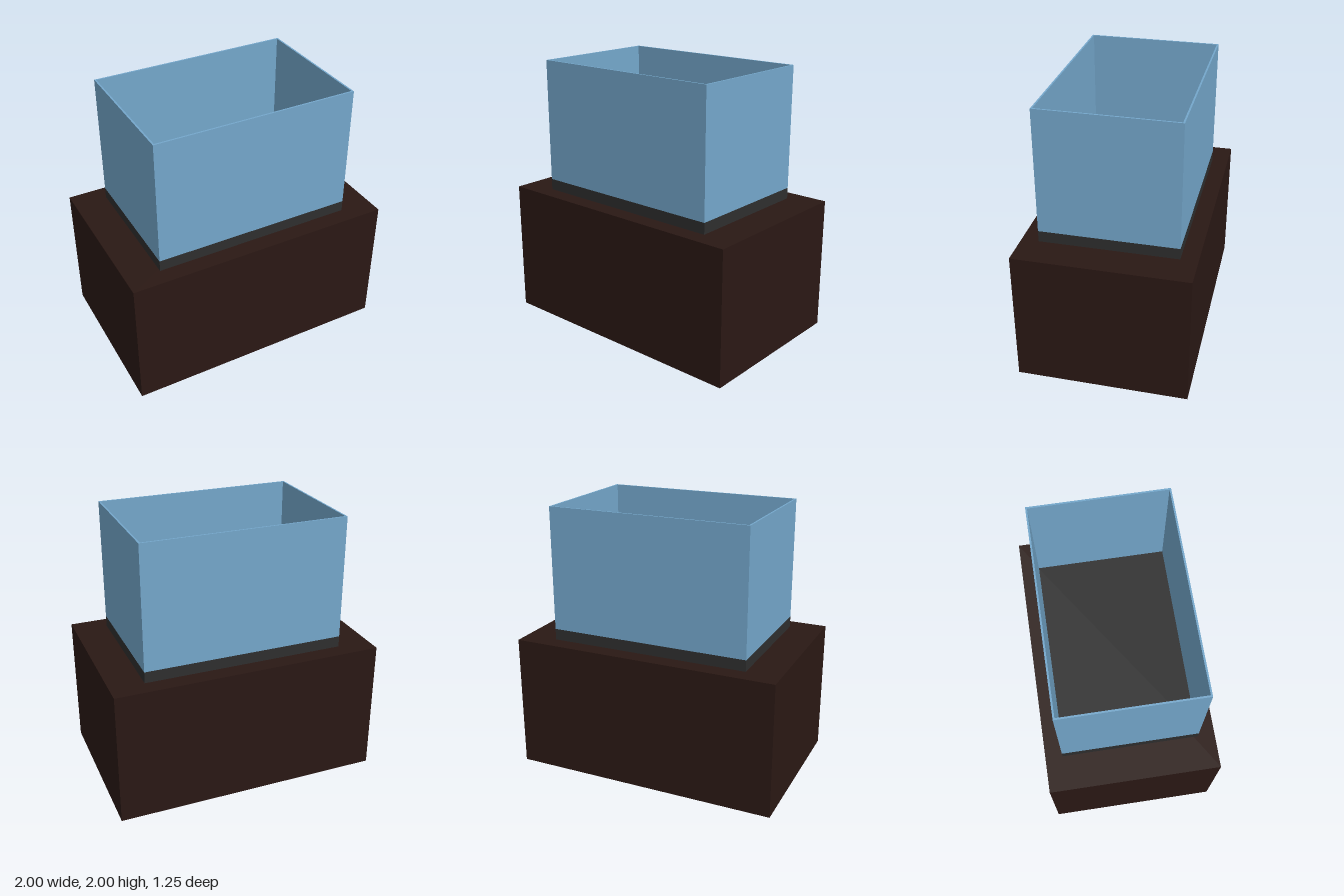
import * as THREE from 'three';

const BASE_TOP = 1, FLOOR_TOP = 1.083, TOP = 2;
const TANK_W = 1.5, TANK_D = 1, GLASS = 0.0125;

// Closed rectangle centred on the origin
function rectangle(w, d, PathType) {
  const x = w / 2, y = d / 2;
  return new PathType([[-x, -y], [x, -y], [x, y], [-x, y]].map(([a, b]) => new THREE.Vector2(a, b))).closePath();
}

function addPart(group, name, geometry, color, y) {
  const mesh = new THREE.Mesh(geometry, new THREE.MeshStandardMaterial({ color }));
  mesh.name = name;
  mesh.position.y = y;
  group.add(mesh);
}

export function createModel() {
  const group = new THREE.Group();
  group.name = 'tankOnStand';

  // Solid wooden stand
  addPart(group, 'stand', new THREE.BoxGeometry(2, BASE_TOP, 1.25), 0x2a1814, BASE_TOP / 2);

  // Dark slab forming the tank floor
  const floorHeight = FLOOR_TOP - BASE_TOP;
  addPart(group, 'tankFloor', new THREE.BoxGeometry(TANK_W, floorHeight, TANK_D), 0x2e2e2e, BASE_TOP + floorHeight / 2);

  // Four thin walls, open at the top
  const outline = rectangle(TANK_W, TANK_D, THREE.Shape);
  outline.holes.push(rectangle(TANK_W - 2 * GLASS, TANK_D - 2 * GLASS, THREE.Path));
  const walls = new THREE.ExtrudeGeometry(outline, { depth: TOP - FLOOR_TOP, bevelEnabled: false });
  walls.rotateX(-Math.PI / 2);
  addPart(group, 'tankWalls', walls, 0x74a7cb, FLOOR_TOP);

  return group;
}
